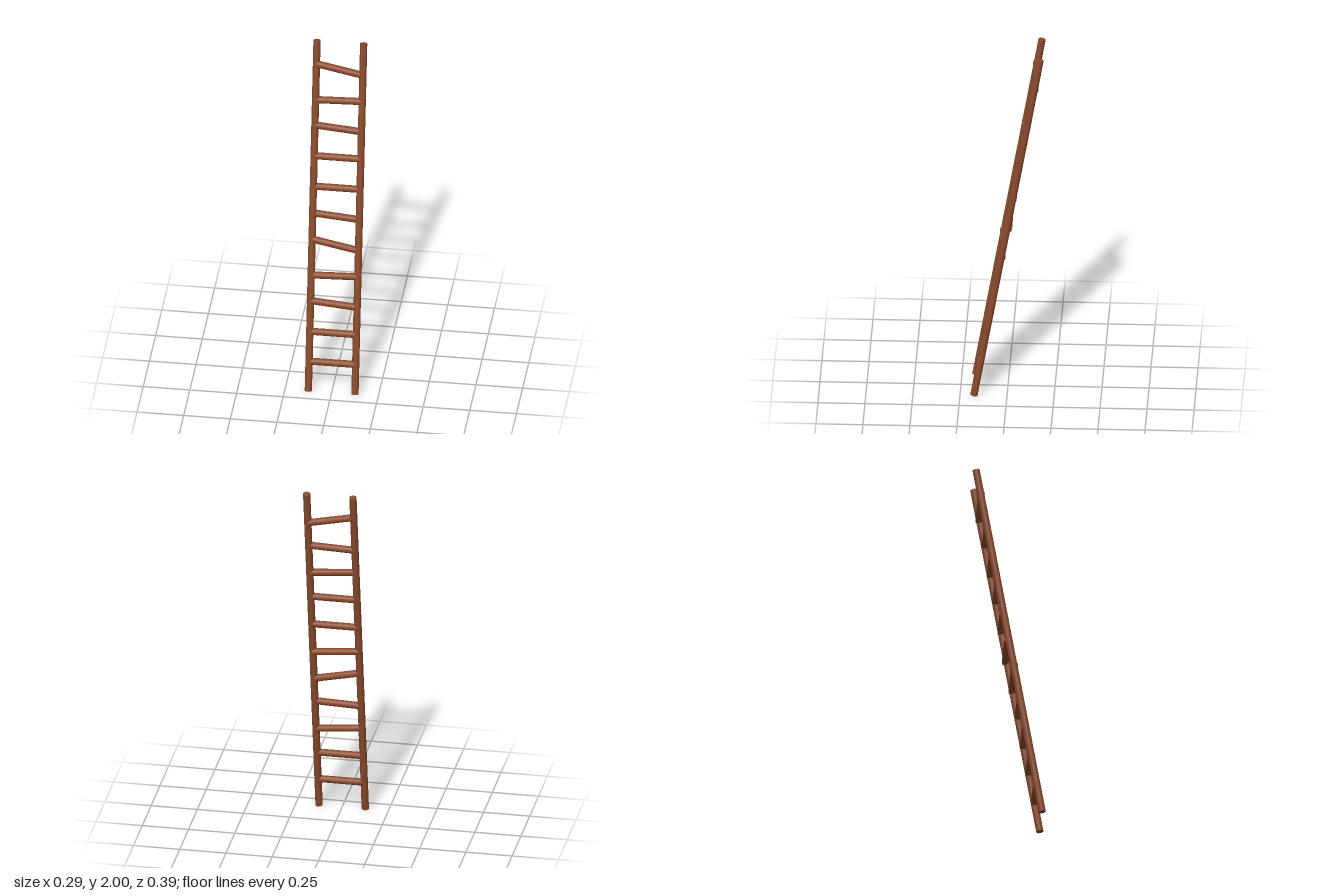
import * as THREE from 'three';

export function createModel() {
  const ladder = new THREE.Group();
  ladder.name = 'ladder';
  const wood = new THREE.MeshStandardMaterial({ color: 0x8b4a2b });
  const lean = THREE.MathUtils.degToRad(10);
  const railX = 0.125;

  // Two round side rails, leaning back
  const railGeo = new THREE.CylinderGeometry(0.0195, 0.0195, 2.024, 24);
  for (const side of [-1, 1]) {
    const rail = new THREE.Mesh(railGeo, wood);
    rail.name = side > 0 ? 'leftRail' : 'rightRail';
    rail.position.set(side * railX, 1, 0);
    rail.rotation.x = -lean;
    ladder.add(rail);
  }

  // Uneven rungs: [centre height, tilt in degrees, depth offset]
  const rungs = [
    [0.17, 0, 0], [0.34, 0, 0], [0.505, -5, 0], [0.665, 2, 0],
    [0.842, -12, 0], [1.0, -5, -0.008], [1.165, 0, -0.003], [1.34, 0, 0],
    [1.505, -5, 0], [1.663, 2, 0], [1.84, -12, 0],
  ];
  const rungGeo = new THREE.CylinderGeometry(0.019, 0.019, 0.25, 24).rotateZ(Math.PI / 2);
  rungs.forEach(([y, tilt, dz], i) => {
    const rung = new THREE.Mesh(rungGeo, wood);
    rung.name = `rung${i + 1}`;
    rung.position.set(0, y, (1 - y) * Math.tan(lean) + dz);
    rung.rotation.z = THREE.MathUtils.degToRad(tilt);
    ladder.add(rung);
  });

  return ladder;
}
